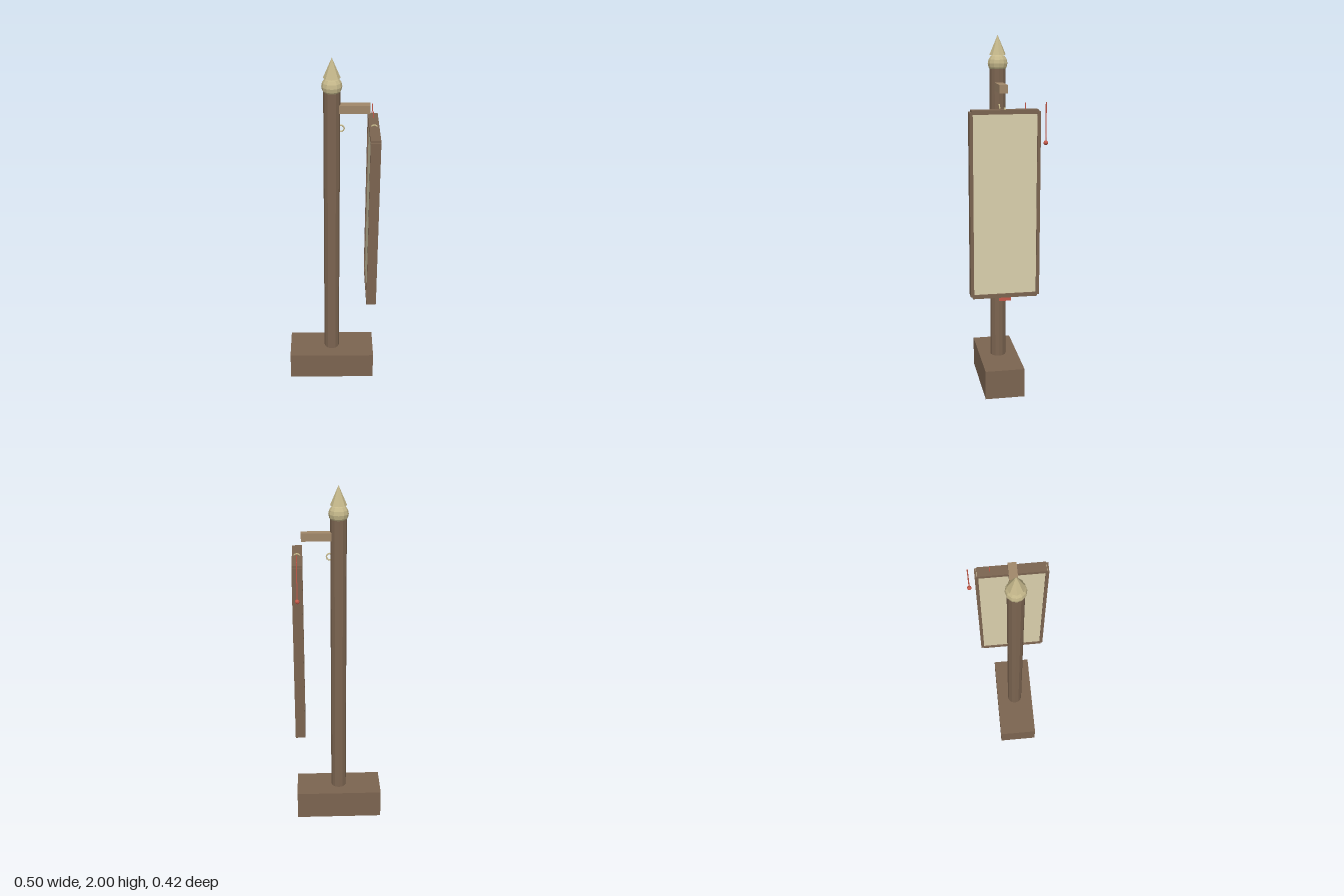
import * as THREE from 'three';

const mat = (color) => new THREE.MeshStandardMaterial({ color, flatShading: true, side: THREE.DoubleSide });
const wood = mat(0x7b6450);
const lightWood = mat(0xa0876a);
const brass = mat(0xc4b78a);
const cloth = mat(0xd9cfac);
const red = mat(0xc65a4a);

const POST_Z = 0.022;   // centre line of base, post and panel
const PANEL_X = 0.223;  // centre of the hanging panel

export function createModel() {
  const group = new THREE.Group();

  const add = (name, geometry, material, x, y, z) => {
    const mesh = new THREE.Mesh(geometry, material);
    mesh.name = name;
    mesh.position.set(x, y, z);
    group.add(mesh);
    return mesh;
  };
  // Box given by its lower and upper corners
  const box = (name, material, [x0, y0, z0], [x1, y1, z1]) =>
    add(name, new THREE.BoxGeometry(x1 - x0, y1 - y0, z1 - z0), material,
      (x0 + x1) / 2, (y0 + y1) / 2, (z0 + z1) / 2);

  // Base and post
  box('base', wood, [-0.25, 0, -0.089], [0.25, 0.167, 0.133]);
  add('post', new THREE.CylinderGeometry(0.044, 0.044, 1.67, 12), wood, 0, 0.99, POST_Z);

  // Finial: ball and spike
  add('finialBall', new THREE.SphereGeometry(0.054, 12, 8), brass, 0, 1.85, POST_Z);
  add('finialSpike', new THREE.ConeGeometry(0.045, 0.105, 8), brass, 0, 1.9475, POST_Z);

  // Arm
  box('arm', lightWood, [0.02, 1.706, 0], [0.2, 1.75, 0.044]);

  // Panel and its frame
  box('panel', cloth, [0.203, 0.61, -0.158], [0.243, 1.615, 0.202]);
  for (const [name, y] of [['bottomRail', 0.6], ['topRail', 1.603]]) {
    box(name, wood, [0.196, y, -0.156], [0.25, y + 0.022, 0.2]);
  }
  for (const [name, z] of [['backStile', -0.167], ['frontStile', 0.193]]) {
    box(name, wood, [0.196, 0.61, z], [0.25, 1.615, z + 0.018]);
  }

  // Rings on the post and on the panel top
  for (const [name, x] of [['postRing', 0.047], ['panelRing', PANEL_X]]) {
    add(name, new THREE.TorusGeometry(0.018, 0.004, 6, 16), brass, x, 1.615, POST_Z);
  }

  // Cords with beads; the inner one hangs inside the panel
  for (const [i, z] of [-0.089, -0.2].entries()) {
    const cord = new THREE.CylinderGeometry(0.003, 0.003, 0.215, 6);
    add(`cord${i + 1}`, cord, red, PANEL_X, 1.5525, z);
    add(`bead${i + 1}`, new THREE.SphereGeometry(0.0125, 8, 6), red, PANEL_X, 1.445, z);
  }

  // Tag under the bottom rail
  box('tag', red, [0.234, 0.578, -0.011], [0.242, 0.605, 0.055]);

  return group;
}
